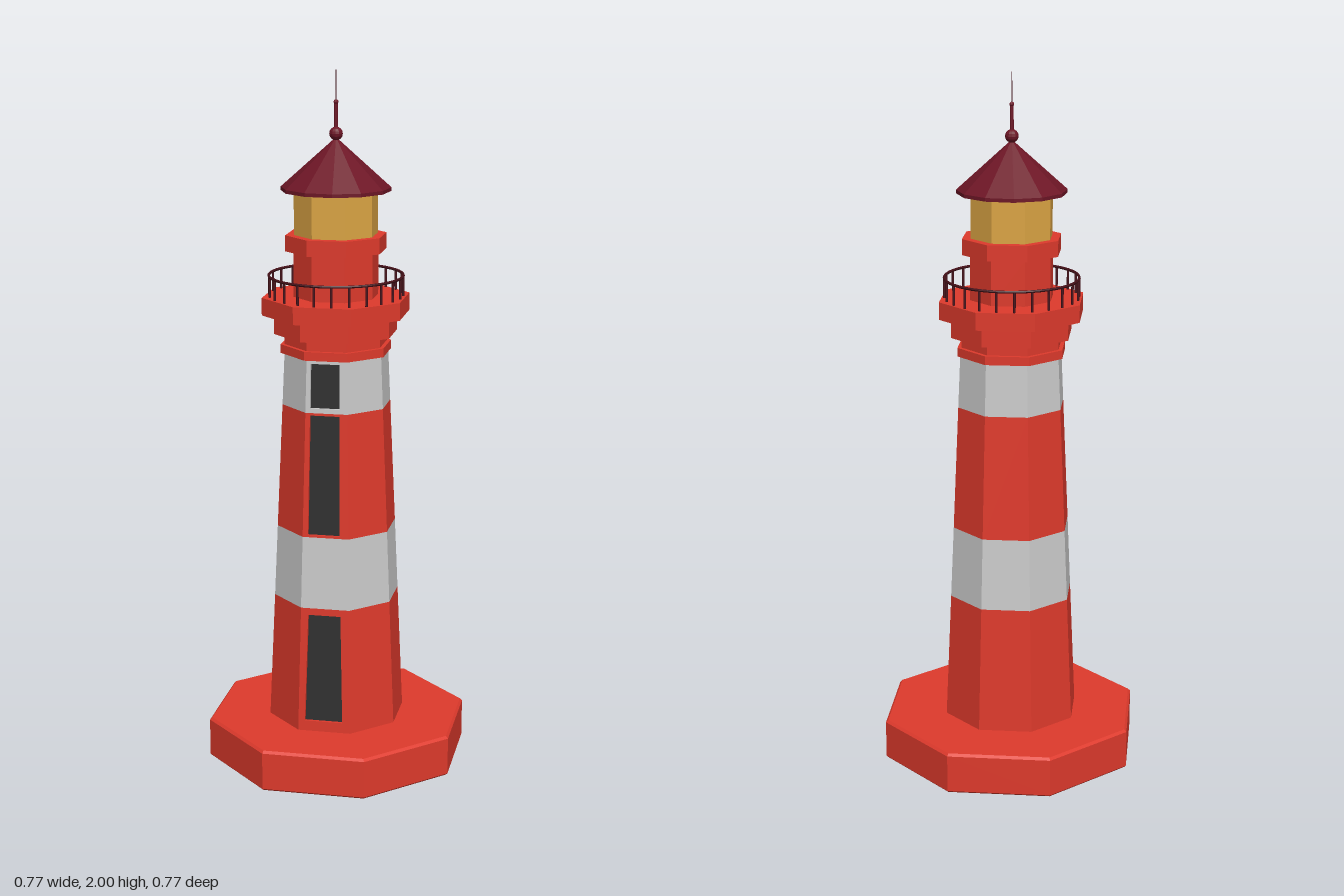
import * as THREE from 'three';

const mat = (color) => new THREE.MeshStandardMaterial({ color, flatShading: true });

export function createModel() {
  const model = new THREE.Group();
  const red = mat(0xdf3a2c), white = mat(0xcccccc), dark = mat(0x303030);
  const maroon = mat(0x6e1626), gold = mat(0xdca544), iron = mat(0x451018);

  const add = (parent, name, geometry, material) => {
    const mesh = new THREE.Mesh(geometry, material);
    mesh.name = name;
    parent.add(mesh);
    return mesh;
  };
  // Faceted ring or drum between two heights, corners on the axes
  const drum = (parent, name, y0, y1, r0, r1, material, sides = 8) => {
    const mesh = add(parent, name, new THREE.CylinderGeometry(r1, r0, y1 - y0, sides), material);
    mesh.position.y = (y0 + y1) / 2;
    return mesh;
  };

  // Plinth with a small bevelled top edge
  const plinth = [[0, 0], [0.378, 0], [0.383, 0.005], [0.383, 0.113], [0.376, 0.12], [0, 0.12]];
  add(model, 'plinth', new THREE.LatheGeometry(plinth.map(([x, y]) => new THREE.Vector2(x, y)), 8), red);

  // Tapered tower: eight wall plates per colour band
  const tower = new THREE.Group();
  tower.name = 'tower';
  tower.position.x = -0.003;
  model.add(tower);
  const radius = (y) => 0.2 - (y - 0.12) * 0.0455;
  const apothem = (y) => radius(y) * Math.cos(Math.PI / 8);
  const halfSide = (y) => radius(y) * Math.sin(Math.PI / 8);
  const tilt = Math.atan(0.0455 * Math.cos(Math.PI / 8));
  const depth = 0.012;

  // Corners of a trapezoid [bottom, top, half width bottom, half width top, shift]
  const trapezoid = (b, t, wb, wt, shift = 0) => [
    new THREE.Vector2(shift - wb, b), new THREE.Vector2(shift + wb, b),
    new THREE.Vector2(shift + wt, t), new THREE.Vector2(shift - wt, t),
  ];
  const bands = [
    { y0: 0.12, y1: 0.49, material: red, opening: [0.15, 0.47, 0.055, 0.047, -0.002], name: 'door' },
    { y0: 0.49, y1: 0.70, material: white },
    { y0: 0.70, y1: 1.06, material: red, opening: [0.706, 1.053, 0.046, 0.042, -0.005], name: 'tallWindow' },
    { y0: 1.06, y1: 1.21, material: white, opening: [1.073, 1.2, 0.042, 0.041, -0.005], name: 'upperWindow' },
  ];
  for (const { y0, y1, material, opening, name } of bands) {
    const slope = 1 / Math.cos(tilt);
    for (let i = 0; i < 8; i++) {
      const angle = (i + 0.5) * Math.PI / 4;
      const place = (mesh) => {
        mesh.position.set(apothem(y0) * Math.sin(angle), y0, apothem(y0) * Math.cos(angle));
        mesh.rotation.set(-tilt, angle, 0, 'YXZ');
      };
      const shape = new THREE.Shape(trapezoid(0, (y1 - y0) * slope, halfSide(y0), halfSide(y1)));
      if (i === 0 && opening) {
        // Recessed dark pane behind a cut opening
        const [b, t, ...rest] = opening;
        const corners = trapezoid((b - y0) * slope, (t - y0) * slope, ...rest);
        shape.holes.push(new THREE.Path(corners));
        const pane = new THREE.ShapeGeometry(new THREE.Shape(corners)).translate(0, 0, -depth + 0.002);
        place(add(tower, name, pane, dark));
      }
      const wall = new THREE.ExtrudeGeometry(shape, { depth, bevelEnabled: false }).translate(0, 0, -depth);
      place(add(tower, 'wallPanel', wall, material));
    }
  }

  // Stepped cornice, gallery deck and lantern room
  const head = new THREE.Group();
  head.name = 'head';
  head.position.x = -0.005;
  model.add(head);
  drum(head, 'neckRing', 1.21, 1.235, 0.16, 0.16, red);
  drum(head, 'neck', 1.235, 1.27, 0.148, 0.148, red);
  drum(head, 'corbel', 1.265, 1.32, 0.178, 0.178, red);
  drum(head, 'galleryDeck', 1.32, 1.37, 0.213, 0.213, red);
  drum(head, 'lanternBase', 1.37, 1.5, 0.122, 0.122, red);
  drum(head, 'lanternSill', 1.5, 1.545, 0.145, 0.145, red);
  drum(head, 'lanternGlass', 1.545, 1.67, 0.12, 0.12, gold);

  // Gallery railing
  const rail = add(head, 'handrail', new THREE.TorusGeometry(0.19, 0.004, 6, 48), iron);
  rail.rotation.x = Math.PI / 2;
  rail.position.y = 1.428;
  for (let i = 0; i < 24; i++) {
    const a = i * Math.PI / 12;
    const post = drum(head, 'railPost', 1.368, 1.428, 0.0035, 0.0035, iron, 6);
    post.position.x = 0.19 * Math.sin(a);
    post.position.z = 0.19 * Math.cos(a);
  }

  // Roof and finial
  drum(head, 'roofRim', 1.667, 1.677, 0.155, 0.155, maroon, 12);
  drum(head, 'roof', 1.677, 1.81, 0.155, 0.006, maroon, 12);
  add(head, 'finialBall', new THREE.SphereGeometry(0.019, 12, 8), maroon).position.y = 1.825;
  drum(head, 'spire', 1.835, 1.91, 0.006, 0.005, maroon, 8);
  add(head, 'spireTip', new THREE.SphereGeometry(0.007, 8, 6), maroon).position.y = 1.912;
  drum(head, 'lightningRod', 1.91, 2, 0.0015, 0.001, iron, 6);

  return model;
}
